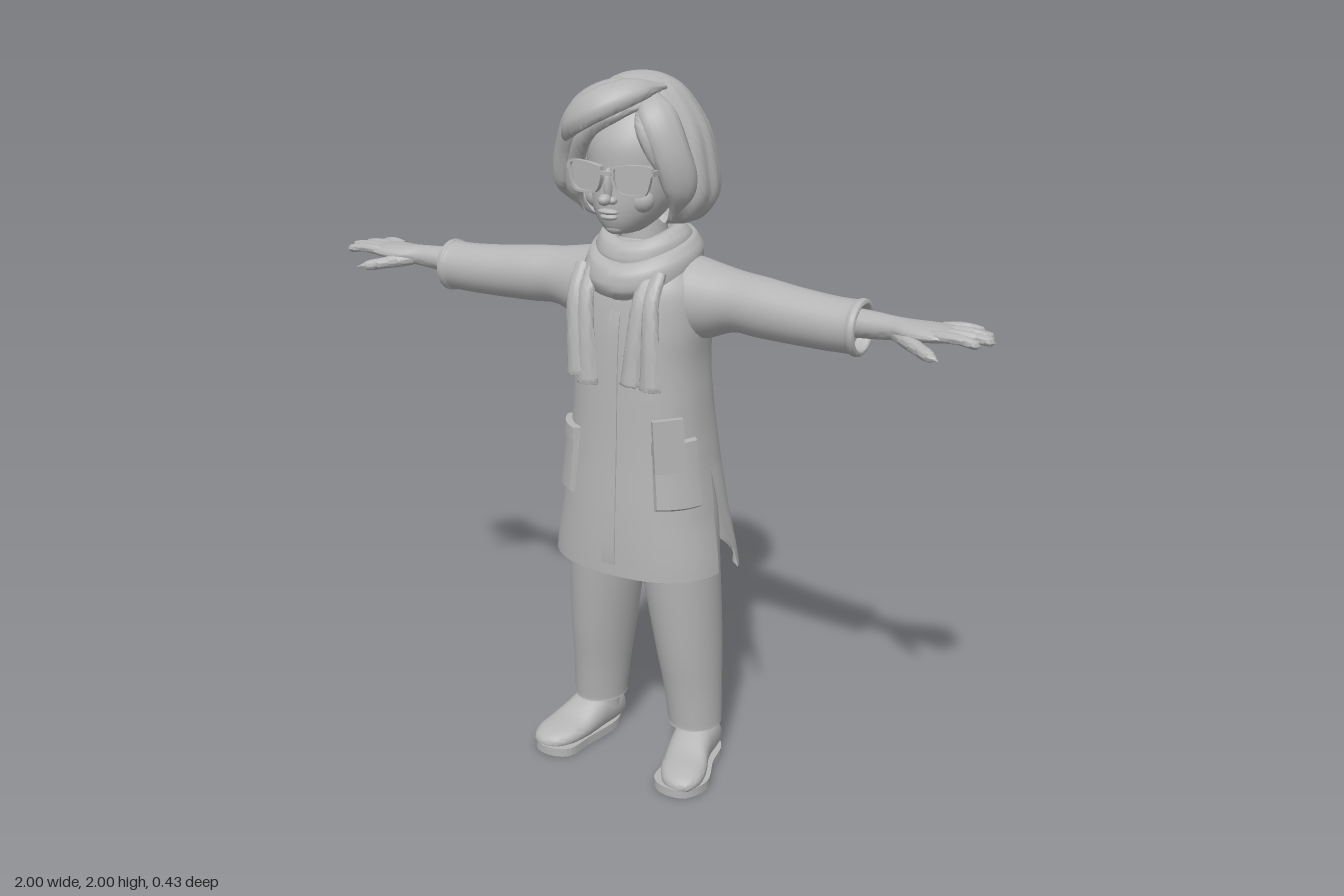
import * as THREE from 'three';
import { toCreasedNormals } from 'three/addons/utils/BufferGeometryUtils.js';

const grey = new THREE.MeshStandardMaterial({ color: 0xb4b4b4, side: THREE.DoubleSide });
grey.name = 'clay grey';
const V = (p) => new THREE.Vector3(...p);

function add(parent, name, geo) {
  const mesh = new THREE.Mesh(geo, grey);
  mesh.name = name;
  parent.add(mesh);
  return mesh;
}

// Surface from fn(u, v) -> [x, y, z], wrapped around in u and optionally in v
function grid(fn, nu, nv, wrapU = true, wrapV = false, crease = 0.8) {
  const cols = wrapU ? nu : nu + 1, rows = wrapV ? nv : nv + 1, pos = [], idx = [];
  for (let j = 0; j < rows; j++) for (let i = 0; i < cols; i++) pos.push(...fn(i / nu, j / nv));
  for (let j = 0; j < nv; j++) for (let i = 0; i < nu; i++) {
    const i2 = (i + 1) % cols, j2 = (j + 1) % rows;
    const a = j * cols + i, b = j * cols + i2, c = j2 * cols + i2, d = j2 * cols + i;
    idx.push(a, b, c, a, c, d);
  }
  // make closed surfaces face outwards
  let vol = 0;
  const p = (k) => new THREE.Vector3().fromArray(pos, k * 3);
  for (let k = 0; k < idx.length; k += 3) vol += p(idx[k]).dot(p(idx[k + 1]).cross(p(idx[k + 2])));
  if (vol < 0) idx.reverse();
  const geo = new THREE.BufferGeometry();
  geo.setAttribute('position', new THREE.Float32BufferAttribute(pos, 3));
  geo.setIndex(idx);
  return toCreasedNormals(geo, crease);
}

// Catmull-Rom through rows of numbers; s runs over row numbers
function spline(rows, s) {
  const n = rows.length - 1, i = Math.min(Math.floor(s), n - 1), f = s - i;
  const r = (k) => rows[Math.max(0, Math.min(n, k))];
  return rows[0].map((_, c) => {
    const a = r(i - 1)[c], b = r(i)[c], d = r(i + 1)[c], e = r(i + 2)[c];
    return b + 0.5 * f * (d - a + f * (2 * a - 5 * b + 4 * d - e + f * (3 * (b - d) + e - a)));
  });
}

// Closed loft along an axis; rows are [t, centre1, centre2, radius1, radius2]
function loft(axis, rows, n = 32, per = 5, power = 1) {
  const nv = (rows.length - 1) * per, sp = (q) => Math.sign(q) * Math.abs(q) ** power;
  return grid((u, v) => {
    const k = v * (nv + 2) - 1; // first and last rings close the ends
    const [t, c1, c2, r1, r2] = spline(rows, Math.max(0, Math.min(nv, k)) / per);
    const cap = k < -0.5 || k > nv + 0.5 ? 0 : 1, a = u * Math.PI * 2;
    const p = c1 + cap * r1 * sp(Math.sin(a)), q = c2 + cap * r2 * sp(Math.cos(a));
    return axis === 'y' ? [p, t, q] : axis === 'x' ? [t, p, q] : [p, q, t];
  }, n, nv + 2);
}

// Flattened tube along points; widths run across, thickness runs along out(point)
function strand(pts, widths, flat, out, closed = false, folds = 0) {
  const curve = new THREE.CatmullRomCurve3(pts.map(V), closed), n = pts.length * 8;
  const rows = widths.map((w) => [w]);
  return grid((u, v) => {
    const c = curve.getPoint(v), t = curve.getTangent(v);
    const side = t.clone().cross(out(c)).normalize(), nor = side.clone().cross(t).normalize();
    const a = u * Math.PI * 2, w = spline(rows, v * (rows.length - 1))[0];
    const f = 1 + folds * Math.cos(7 * a + 5 * v);
    return c.addScaledVector(side, w * f * Math.cos(a)).addScaledVector(nor, w * flat * f * Math.sin(a)).toArray();
  }, 20, n, true, closed, 1.1);
}

// Coat outline: [y, half width, front z, back z]
const COAT = [[0.64, 0.262, 0.19, -0.21], [0.8, 0.235, 0.185, -0.2], [1, 0.207, 0.172, -0.18], [1.15, 0.193, 0.165, -0.16],
  [1.25, 0.187, 0.16, -0.155], [1.35, 0.195, 0.152, -0.155], [1.45, 0.19, 0.135, -0.15], [1.52, 0.14, 0.1, -0.13], [1.57, 0.08, 0.06, -0.08]];

function coatPoint(a, y, off = 0) {
  let i = 0;
  while (i < COAT.length - 2 && y > COAT[i + 1][0]) i++;
  const [, rx, zf, zb] = spline(COAT, i + (y - COAT[i][0]) / (COAT[i + 1][0] - COAT[i][0]));
  const sp = (q) => Math.sign(q) * Math.abs(q) ** 0.85, cz = (zf + zb) / 2;
  return [(rx + off) * sp(Math.sin(a)), y, cz + ((zf - zb) / 2 + off) * sp(Math.cos(a))];
}

// Raised patch lying on the coat
const patch = (a0, a1, y0, y1, h) => grid((u, v) => {
  const edge = u < 0.01 || u > 0.99 || v < 0.01 || v > 0.99;
  return coatPoint(a0 + (a1 - a0) * u, y0 + (y1 - y0) * v, edge ? -0.004 : h);
}, 16, 16, false);

function buildCoat(g) {
  add(g, 'coatBody', grid((u, v) => coatPoint(u * Math.PI * 2, 0.94 + 0.63 * v), 64, 40));
  for (const back of [0, 1]) { // front and back skirt panels, parted by side slits
    add(g, back ? 'coatBackPanel' : 'coatFrontPanel', grid((u, v) => {
      const down = Math.min(1, v / 0.9), fold = Math.max(0, v - 0.9) * 10;
      const half = Math.PI / 2 - 0.12 * down;
      const p = coatPoint(back * Math.PI + (u * 2 - 1) * half, 0.94 - 0.3 * down + 0.025 * fold, fold > 0 ? -0.014 : 0);
      p[0] *= 1 + back * 0.1 * down * Math.abs(u * 2 - 1) ** 3;
      return p;
    }, 40, 20, false));
  }
  add(g, 'coatPlacket', patch(-0.06, 0.06, 0.645, 1.42, 0.003));
  for (const s of [-1, 1]) {
    add(g, 'pocket', patch(s * 0.53, s * 1.3, 0.845, 1.035, 0.013));
    add(g, 'pocketHem', patch(s * 0.52, s * 1.31, 1.005, 1.045, 0.018));
  }
  const book = add(g, 'notebook', new THREE.BoxGeometry(0.085, 0.15, 0.018));
  book.position.set(0.16, 1.035, 0.135);
  book.rotation.set(-0.05, 0.75, 0.08);
}

// Left arm, hand, leg and shoe; mirrored for the right
function buildSide(g) {
  add(g, 'sleeve', loft('x', [[0.06, 1.42, -0.02, 0.1, 0.09], [0.14, 1.412, -0.025, 0.112, 0.105], [0.2, 1.41, -0.025, 0.103, 0.1],
    [0.28, 1.418, -0.02, 0.082, 0.086], [0.36, 1.415, -0.01, 0.08, 0.08], [0.46, 1.41, 0, 0.075, 0.074], [0.56, 1.407, 0.007, 0.071, 0.071],
    [0.625, 1.408, 0.01, 0.07, 0.07], [0.635, 1.408, 0.01, 0.074, 0.074], [0.65, 1.408, 0.01, 0.073, 0.073], [0.652, 1.409, 0.012, 0.06, 0.06],
    [0.62, 1.41, 0.012, 0.055, 0.055]]));
  add(g, 'hand', loft('x', [[0.58, 1.42, 0.015, 0.04, 0.042], [0.68, 1.425, 0.027, 0.035, 0.037], [0.74, 1.428, 0.035, 0.03, 0.036],
    [0.79, 1.43, 0.04, 0.026, 0.052], [0.84, 1.432, 0.036, 0.022, 0.062], [0.885, 1.433, 0.032, 0.016, 0.06], [0.9, 1.433, 0.032, 0.008, 0.045]], 24));
  const up = () => new THREE.Vector3(0, 1, 0);
  [[-0.015, -0.038, 0.95], [0.016, 0.0, 0.985], [0.045, 0.04, 1.0], [0.074, 0.085, 0.98]].forEach(([z0, z1, x]) =>
    add(g, 'finger', strand([[0.85, 1.434, z0], [(0.86 + x) / 2, 1.438, (z0 + z1) / 2], [x - 0.012, 1.432, z1], [x, 1.43, z1]],
      [0.016, 0.0165, 0.015, 0.014, 0.011, 0.001], 0.85, up)));
  add(g, 'thumb', strand([[0.76, 1.42, 0.055], [0.81, 1.412, 0.09], [0.86, 1.402, 0.122], [0.9, 1.396, 0.145]],
    [0.02, 0.021, 0.018, 0.016, 0.001], 0.9, up));
  add(g, 'trouserLeg', loft('y', [[0.96, 0.09, 0, 0.09, 0.12], [0.8, 0.11, 0, 0.11, 0.13], [0.62, 0.123, -0.004, 0.109, 0.125],
    [0.4, 0.144, -0.014, 0.095, 0.112], [0.25, 0.157, -0.02, 0.084, 0.095], [0.14, 0.165, -0.022, 0.078, 0.084], [0.125, 0.165, -0.022, 0.077, 0.083],
    [0.125, 0.165, -0.022, 0.062, 0.066], [0.15, 0.165, -0.022, 0.058, 0.06]]));
  // shoe rows along z: position, centre x, centre y, half width, half height
  add(g, 'shoe', loft('z', [[-0.103, 0.17, 0.04, 0.025, 0.025], [-0.09, 0.17, 0.055, 0.05, 0.045], [-0.05, 0.172, 0.07, 0.062, 0.06],
    [0.01, 0.18, 0.07, 0.063, 0.06], [0.05, 0.188, 0.06, 0.065, 0.052], [0.1, 0.204, 0.045, 0.07, 0.037], [0.15, 0.216, 0.038, 0.066, 0.03],
    [0.19, 0.224, 0.032, 0.045, 0.021], [0.205, 0.227, 0.028, 0.018, 0.01]], 24, 4, 0.85));
  add(g, 'ankle', new THREE.CylinderGeometry(0.052, 0.057, 0.1, 24)).position.set(0.167, 0.13, -0.025);
  const outline = new THREE.Shape(new THREE.SplineCurve([[0.13, 0.08], [0.115, 0.02], [0.133, -0.1], [0.145, -0.18], [0.195, -0.21], [0.26, -0.195],
    [0.288, -0.12], [0.252, -0.02], [0.235, 0.06], [0.2, 0.103], [0.155, 0.1], [0.13, 0.08]].map((p) => new THREE.Vector2(...p))).getPoints(48));
  add(g, 'shoeSole', new THREE.ExtrudeGeometry(outline, { depth: 0.026, bevelEnabled: false })).rotation.x = -Math.PI / 2;
}

function buildHead(g) {
  add(g, 'neck', new THREE.CylinderGeometry(0.058, 0.072, 0.22, 28)).position.set(0, 1.56, -0.005);
  add(g, 'face', loft('y', [[1.597, 0, 0.1, 0.025, 0.035], [1.605, 0, 0.09, 0.048, 0.065], [1.63, 0, 0.072, 0.075, 0.097], [1.66, 0, 0.058, 0.097, 0.117],
    [1.7, 0, 0.045, 0.115, 0.13], [1.76, 0, 0.04, 0.125, 0.13], [1.84, 0, 0.025, 0.13, 0.138], [1.92, 0, 0, 0.105, 0.115], [1.95, 0, 0, 0.05, 0.06]]));
  const ball = (name, x, y, z, sx, sy, sz) => {
    const m = add(g, name, new THREE.SphereGeometry(1, 20, 14));
    m.position.set(x, y, z);
    m.scale.set(sx, sy, sz);
  };
  ball('noseTip', 0, 1.695, 0.192, 0.017, 0.015, 0.02);
  ball('noseBridge', 0, 1.73, 0.172, 0.012, 0.045, 0.018);
  ball('upperLip', 0, 1.662, 0.176, 0.03, 0.008, 0.016);
  ball('lowerLip', 0, 1.648, 0.173, 0.025, 0.009, 0.016);
  ball('chin', 0, 1.615, 0.14, 0.03, 0.018, 0.023);
  for (const s of [-1, 1]) {
    ball('nostril', s * 0.015, 1.692, 0.178, 0.012, 0.01, 0.014);
    ball('cheek', s * 0.062, 1.69, 0.12, 0.04, 0.035, 0.033);
    // glasses
    const lens = (k) => new THREE.SplineCurve([[-0.052, 0.03], [0, 0.038], [0.055, 0.036], [0.056, 0.005], [0.04, -0.037], [0, -0.043], [-0.035, -0.036],
      [-0.051, -0.005], [-0.052, 0.03]].map(([x, y]) => new THREE.Vector2(s * x * k, y * k))).getPoints(40);
    const rim = new THREE.Shape(lens(1));
    rim.holes.push(new THREE.Path(lens(0.86)));
    [['glassesRim', rim, 0.014], ['glassesLens', new THREE.Shape(lens(0.9)), 0.006]].forEach(([name, shape, depth]) => {
      const m = add(g, name, new THREE.ExtrudeGeometry(shape, { depth, bevelEnabled: false }));
      m.position.set(s * 0.066, 1.748, 0.166);
      m.rotation.y = s * 0.15;
    });
    const temple = add(g, 'glassesTemple', new THREE.BoxGeometry(0.008, 0.014, 0.14));
    temple.position.set(s * 0.126, 1.768, 0.1);
  }
  add(g, 'glassesBridge', new THREE.BoxGeometry(0.035, 0.01, 0.012)).position.set(0, 1.762, 0.184);
}

function buildHair(g) {
  // bob shell: [y, radius, half angle of the face opening]
  const rows = [[2, 0.002, 0], [1.99, 0.06, 0], [1.955, 0.118, 0.05], [1.87, 0.176, 0.6], [1.78, 0.203, 0.8], [1.7, 0.212, 0.9], [1.65, 0.192, 0.95],
    [1.618, 0.15, 1], [1.63, 0.09, 1.05], [1.67, 0.06, 1.1]];
  add(g, 'hairBob', grid((u, v) => {
    const [y, r, open] = spline(rows, v * (rows.length - 1));
    const a = open + u * 2 * (Math.PI - open), edge = Math.min(1, Math.min(u, 1 - u) * 14);
    const tuck = open > 0.3 ? 0.8 + 0.2 * Math.sqrt(edge) : 1;
    const k = r * tuck * (0.975 + 0.04 * Math.min(1, v * 3) * Math.abs(Math.sin(8 * a + 0.6 * v)));
    return [-0.012 + k * Math.sin(a), y, -0.015 + k * 0.88 * Math.cos(a)];
  }, 112, 45, false));
  const out = (p) => p.clone().sub(new THREE.Vector3(0, 1.75, -0.04));
  // locks swept from the parting
  const locks = [
    [[[0.07, 1.965, 0.04], [0, 1.955, 0.12], [-0.1, 1.9, 0.14], [-0.165, 1.81, 0.11], [-0.195, 1.71, 0.08], [-0.165, 1.645, 0.07]], [0.015, 0.05, 0.06, 0.055, 0.05, 0.003]],
    [[[0.07, 1.93, 0.11], [0.01, 1.92, 0.155], [-0.08, 1.87, 0.155], [-0.135, 1.78, 0.125], [-0.15, 1.7, 0.105], [-0.13, 1.635, 0.09]], [0.01, 0.035, 0.045, 0.04, 0.038, 0.003]],
    [[[0.08, 1.97, 0.03], [0.045, 1.965, 0.12], [-0.03, 1.93, 0.18], [-0.11, 1.88, 0.175], [-0.17, 1.8, 0.13]], [0.012, 0.04, 0.05, 0.04, 0.003]],
    [[[0.05, 1.965, 0.05], [0.1, 1.91, 0.105], [0.145, 1.82, 0.11], [0.16, 1.72, 0.085], [0.13, 1.635, 0.075]], [0.012, 0.05, 0.05, 0.045, 0.003]],
    [[[0.05, 1.94, 0.1], [0.09, 1.88, 0.135], [0.125, 1.8, 0.125], [0.135, 1.73, 0.1]], [0.008, 0.03, 0.028, 0.003]],
  ];
  locks.forEach(([pts, widths]) => add(g, 'hairLock', strand(pts, widths, 0.6, out, false, 0.04)));
}

function buildScarf(g) {
  const axis = (p) => new THREE.Vector3(p.x, 0.04, p.z);
  // loops: radius x, radius z, front height, back height, half width
  [[0.122, 0.135, 1.47, 1.54, 0.048], [0.1, 0.1, 1.53, 1.565, 0.04]].forEach(([rx, rz, yf, yb, w], k) => {
    const pts = [];
    for (let i = 0; i < 12; i++) {
      const a = (i / 12) * Math.PI * 2, c = Math.cos(a);
      pts.push([rx * Math.sin(a), (yf + yb) / 2 + 0.015 + ((yf - yb) / 2) * c - 0.015 * c * c, -0.005 + rz * c]);
    }
    add(g, k ? 'scarfUpperLoop' : 'scarfLowerLoop', strand(pts, [w, w], 0.72, axis, true, 0.06));
  });
  // hanging ends, each of two folds
  const front = () => new THREE.Vector3(0, 0, 1);
  [[-0.125, -0.098, 1.21], [-0.09, -0.067, 1.19], [0.082, 0.07, 1.205], [0.115, 0.13, 1.2]].forEach(([x0, x1, y]) =>
    add(g, 'scarfEnd', strand([[x0, 1.5, 0.11], [x0 * 0.98, 1.43, 0.15], [(x0 + x1) / 2, 1.33, 0.17], [x1, y, 0.18], [x1, y - 0.003, 0.18]],
      [0.02, 0.022, 0.024, 0.027, 0.03, 0.001], 0.62, front, false, 0.06)));
  const flap = add(g, 'scarfBackFlap', new THREE.BoxGeometry(0.075, 0.1, 0.026));
  flap.position.set(0.02, 1.505, -0.162);
  flap.rotation.set(0.1, 0, 0.1);
}

export function createModel() {
  const model = new THREE.Group();
  model.name = 'standingWoman';
  const group = (name, build) => {
    const g = new THREE.Group();
    g.name = name;
    build(g);
    model.add(g);
    return g;
  };
  group('coat', buildCoat);
  group('leftLimbs', buildSide);
  group('rightLimbs', buildSide).scale.x = -1;
  group('head', buildHead);
  group('hair', buildHair);
  group('scarf', buildScarf);
  return model;
}
